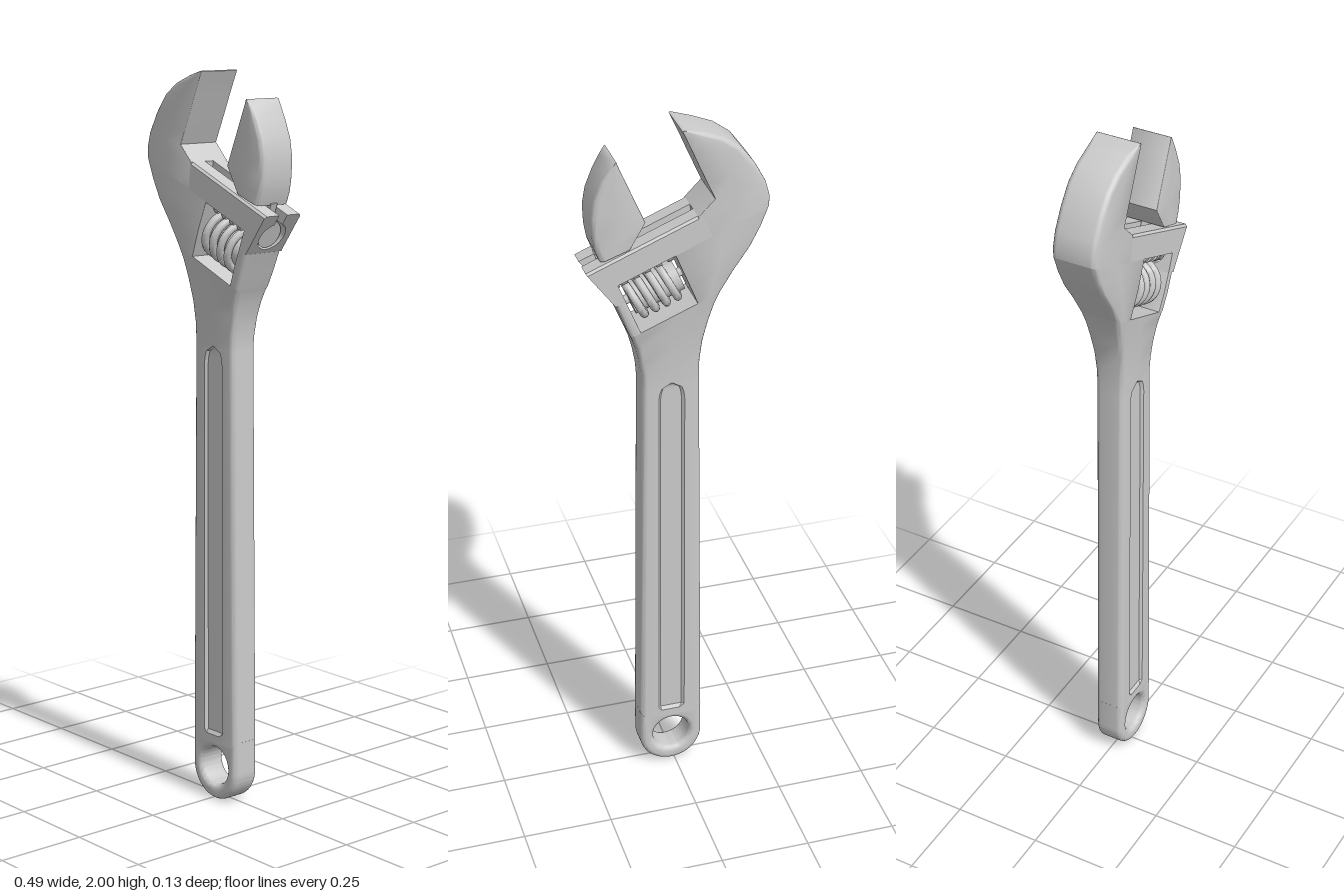
import * as THREE from 'three';
import { toCreasedNormals } from 'three/addons/utils/BufferGeometryUtils.js';

const grey = new THREE.MeshStandardMaterial({ color: 0xcccccc });

function add(parent, name, geometry, crease = 0.6) {
  const mesh = new THREE.Mesh(toCreasedNormals(geometry, crease), grey);
  mesh.name = name;
  parent.add(mesh);
  return mesh;
}

// Tilted frame of the head: origin at the right end of the jaw rail, u along the rail, v across it
const TILT = -0.389, ORIGIN = [0.24, 1.64];
const C = Math.cos(TILT), S = Math.sin(TILT);
const uv = (u, v) => [ORIGIN[0] + C * u - S * v, ORIGIN[1] + S * u + C * v];

// Rounded section spanning a..b with half thickness h, edge radii ra/rb and a sunk panel (half width w, depth d)
function section({ a, b, h, ra = 0.015, rb = 0.015, w = 0.001, d = 0 }) {
  const len = Math.hypot(b[0] - a[0], b[1] - a[1]);
  const r1 = Math.min(ra, len * 0.4), r2 = Math.min(rb, len * 0.4);
  const half = [];
  for (let i = 0; i <= 4; i++) {
    const t = i * Math.PI / 8;
    half.push([r1 - r1 * Math.cos(t), h - r1 + r1 * Math.sin(t)]);
  }
  const m = len / 2, wo = Math.min(w, len * 0.09 + w * 0.5), wi = Math.max(wo - 0.007, wo * 0.3);
  half.push([m - wo, h], [m - wi, h - d], [m + wi, h - d], [m + wo, h]);
  for (let i = 0; i <= 4; i++) {
    const t = i * Math.PI / 8;
    half.push([len - r2 + r2 * Math.sin(t), h - r2 + r2 * Math.cos(t)]);
  }
  const ring = half.concat(half.slice().reverse().map(([s, z]) => [s, -z]));
  return ring.map(([s, z]) => [a[0] + (b[0] - a[0]) * s / len, a[1] + (b[1] - a[1]) * s / len, z]);
}

// Skin through a list of sections, closed at both ends
function loft(rows) {
  const rings = rows.map(section), n = rings[0].length;
  const pos = rings.flat(2), index = [];
  for (let j = 0; j < rings.length - 1; j++) {
    for (let i = 0; i < n; i++) {
      const k = (i + 1) % n, p = j * n, q = p + n;
      index.push(p + i, p + k, q + k, p + i, q + k, q + i);
    }
  }
  [0, rings.length - 1].forEach((j) => {
    const { a, b } = rows[j], c = pos.length / 3;
    pos.push((a[0] + b[0]) / 2, (a[1] + b[1]) / 2, 0);
    for (let i = 0; i < n; i++) {
      const p = j * n + i, q = j * n + (i + 1) % n;
      index.push(c, ...(j ? [p, q] : [q, p]));
    }
  });
  const g = new THREE.BufferGeometry();
  g.setAttribute('position', new THREE.Float32BufferAttribute(pos, 3));
  g.setIndex(index);
  return g;
}

// Cylinder lying along the rail from u0 to u1
function rod(u0, u1, r, v) {
  return new THREE.CylinderGeometry(r, r, u1 - u0, 32).rotateZ(Math.PI / 2).translate((u0 + u1) / 2, v, 0);
}

function buildHandle(group) {
  // Rounded end with a bevelled hanging hole
  const bevel = 0.015, H = 0.041;
  const end = new THREE.Shape();
  end.moveTo(0.1, 0.185);
  end.lineTo(-0.08, 0.185);
  end.lineTo(-0.08, 0.098);
  end.absarc(0.01, 0.095, 0.09, Math.PI, Math.PI * 2, false);
  end.holes.push(new THREE.Path().absarc(0.01, 0.1, 0.053, 0, Math.PI * 2, true));
  const endGeo = new THREE.ExtrudeGeometry(end, {
    depth: 2 * (H - bevel), bevelThickness: bevel, bevelSize: bevel,
    bevelOffset: -bevel, bevelSegments: 4, curveSegments: 28,
  }).translate(0, 0, bevel - H);
  add(group, 'handleEnd', endGeo);

  // Grip with sunk panels front and back, flaring into the neck: [y, panel half width, panel depth]
  const grip = [[0.167, 0.001, 0], [0.19, 0.03, 0], [0.2, 0.043, 0.007], [0.7, 0.043, 0.007], [1.225, 0.043, 0.007],
    [1.245, 0.038, 0.007], [1.26, 0.028, 0.007], [1.268, 0.014, 0.006], [1.276, 0.002, 0]];
  const rows = grip.map(([y, w, d]) => {
    const t = (y - 0.167) / 1.11;
    return { a: [-0.08 + 0.011 * t, y], b: [0.1 - 0.012 * t, y], h: H, w, d };
  });
  rows.push(
    { a: [-0.069, 1.33], b: [0.09, 1.31], h: 0.0425 },
    { a: [-0.076, 1.39], b: [0.097, 1.355], h: 0.0455 },
    { a: [-0.09, 1.45], b: [0.107, 1.395], h: 0.05 },
    { a: [-0.105, 1.5], b: [0.116, 1.42], h: 0.054 },
    { a: uv(-0.295, -0.232), b: uv(-0.031, -0.232), h: 0.057 },
  );
  add(group, 'handle', loft(rows));
}

function buildHead(group, head) {
  // Cheeks on both sides of the worm window
  const left = [[-0.295, -0.232, 0.057], [-0.35, -0.19, 0.06], [-0.41, -0.15, 0.062], [-0.457, -0.11, 0.062], [-0.495, -0.07, 0.062]];
  add(group, 'leftCheek', loft(left.map(([u, v, h]) => ({ a: uv(u, v), b: uv(-0.225, v), h, rb: 0.001 }))));
  const right = [[-0.031, -0.232, 0.057], [-0.031, -0.18, 0.061], [-0.031, -0.125, 0.062]];
  add(group, 'rightCheek', loft(right.map(([u, v, h]) => ({ a: uv(-0.06, v), b: uv(u, v), h, ra: 0.001, rb: 0.012 }))));

  // Fixed jaw: outer and inner edge points
  const jaw = [
    [uv(-0.495, -0.07), uv(-0.3, -0.07)],
    [[-0.246, 1.79], uv(-0.318, 0)],
    [[-0.235, 1.83], [-0.098, 1.805]],
    [[-0.205, 1.885], [-0.08, 1.845]],
    [[-0.168, 1.934], [-0.06, 1.89]],
    [[-0.125, 1.965], [-0.042, 1.932]],
    [[-0.07, 1.987], [-0.026, 1.968]],
    [[-0.018, 2], [-0.012, 1.998]],
  ];
  add(group, 'fixedJaw', loft(jaw.map(([a, b]) => ({ a, b, h: 0.062, rb: 0.002 }))));

  // Rail halves around the keyhole slot; the outer end slants and holds the whole bore
  for (const s of [1, -1]) {
    for (const full of [false, true]) {
      const arc = [], last = full ? -Math.PI / 2 : 0, first = Math.acos(0.014 / 0.042);
      for (let i = 0; i <= 14; i++) {
        const t = first + (last - first) * i / 14;
        arc.push([0.042 * Math.cos(t), -0.071 + 0.042 * Math.sin(t)]);
      }
      const bottom = full ? -0.125 : -0.071;
      const pts = [[0.062, bottom], [0.062, -0.006], [0.056, 0], [0.014, 0], ...arc];
      if (full) pts.push([0, bottom]);
      const shape = new THREE.Shape(pts.map(([z, v]) => new THREE.Vector2(s * z, v)));
      const [u0, u1] = full ? [-0.06, 0] : [-0.33, -0.06];
      const g = new THREE.ExtrudeGeometry(shape, { depth: u1 - u0, bevelEnabled: false })
        .rotateY(Math.PI / 2).translate(u0, 0, 0);
      const p = g.attributes.position;
      for (let i = 0; full && i < p.count; i++) {
        if (p.getX(i) > -0.01) p.setX(i, 0.25 * p.getY(i));
      }
      add(head, full ? 'railEnd' : 'rail', g);
    }
  }
}

function buildMovingJaw(group, head) {
  const rows = [
    [[0.123, 1.69], [0.2, 1.663]],
    [[0.104, 1.722], [0.212, 1.695]],
    [[0.082, 1.76], [0.219, 1.735]],
    [[0.1, 1.803], [0.221, 1.785]],
    [[0.118, 1.845], [0.213, 1.832]],
    [[0.136, 1.888], [0.193, 1.882]],
    [[0.149, 1.918], [0.173, 1.915]],
    [[0.155, 1.934], [0.159, 1.932]],
  ];
  add(group, 'movingJaw', loft(rows.map(([a, b]) => ({ a, b, h: 0.055, ra: 0.002 }))));

  // Web through the slot, slide rod in the bore and rack teeth
  add(head, 'jawWeb', new THREE.BoxGeometry(0.085, 0.09, 0.022).translate(-0.085, -0.033, 0));
  add(head, 'slideRod', rod(-0.235, -0.05, 0.027, -0.071));
  add(head, 'slideRodEnd', rod(-0.065, -0.03, 0.038, -0.071));
  for (let i = 0; i < 5; i++) {
    const u = -0.212 + i * 0.033;
    add(head, 'rackTooth', rod(u - 0.008, u + 0.008, 0.038, -0.071));
  }
}

function buildWorm(head) {
  const v = -0.156;
  add(head, 'wormPin', rod(-0.235, -0.05, 0.012, v));
  add(head, 'wormCore', rod(-0.213, -0.072, 0.045, v));
  // Helical thread
  const points = [], turns = 4;
  for (let i = 0; i <= turns * 16; i++) {
    const t = i / 16, angle = t * Math.PI * 2;
    points.push(new THREE.Vector3(-0.206 + t * 0.032, v + 0.055 * Math.cos(angle), 0.055 * Math.sin(angle)));
  }
  add(head, 'wormThread', new THREE.TubeGeometry(new THREE.CatmullRomCurve3(points), 160, 0.011, 8), 1);
}

export function createModel() {
  const group = new THREE.Group();
  group.name = 'adjustableWrench';
  const head = new THREE.Group();
  head.name = 'headMechanism';
  head.position.set(ORIGIN[0], ORIGIN[1], 0);
  head.rotation.z = TILT;
  group.add(head);
  buildHandle(group);
  buildHead(group, head);
  buildMovingJaw(group, head);
  buildWorm(head);
  return group;
}
